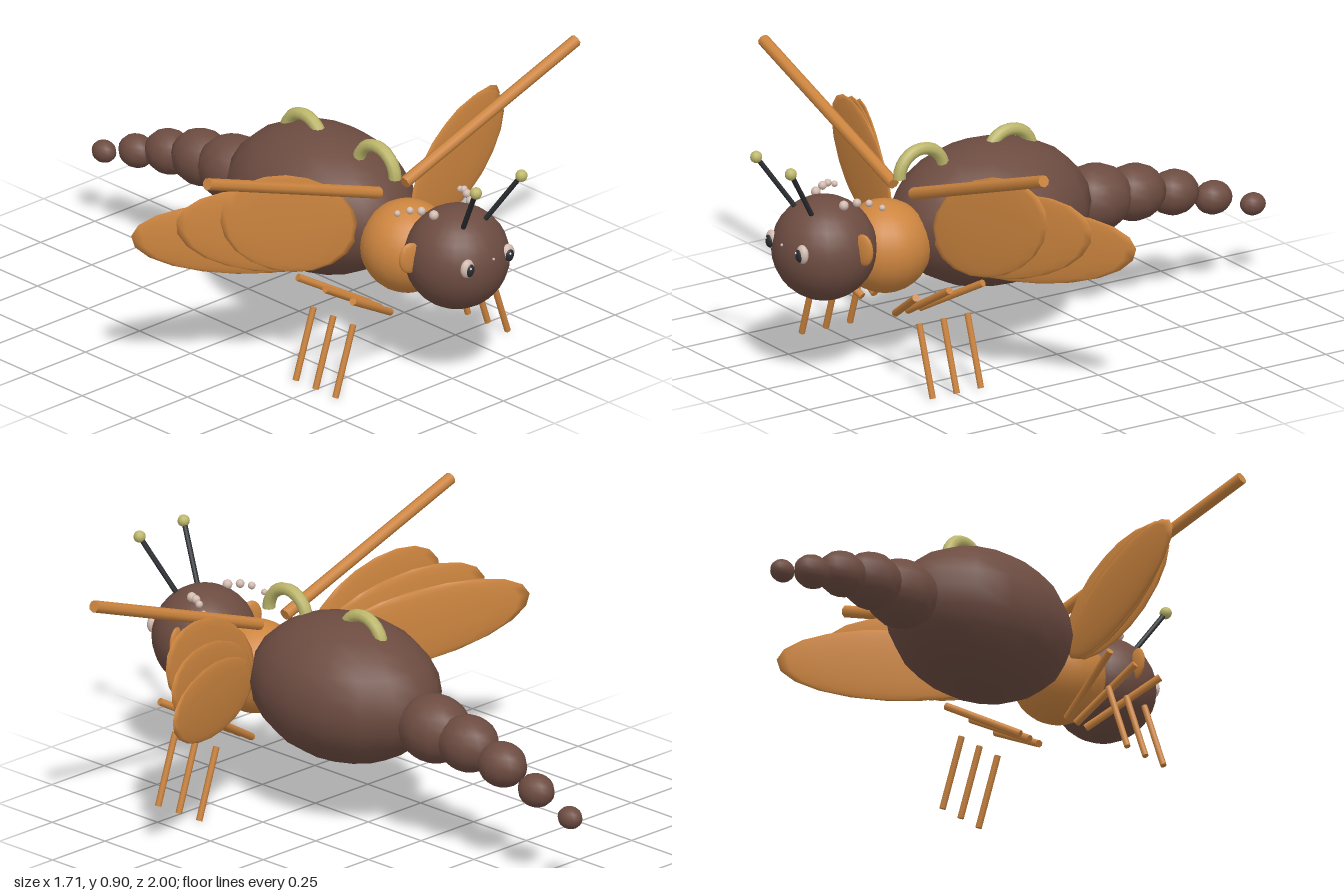
import * as THREE from 'three';

const mat = (name, color) => {
  const m = new THREE.MeshStandardMaterial({ color });
  m.name = name;
  return m;
};

export function createModel() {
  const group = new THREE.Group();
  const brown = mat('brown', 0x6d4c41);
  const orange = mat('orange', 0xcd853f);
  const khaki = mat('khaki', 0xbdb76b);
  const pale = mat('pale', 0xd2bbb0);
  const dark = mat('dark', 0x2a2d31);
  const white = mat('white', 0xffffff);

  const add = (name, geo, material, pos) => {
    const mesh = new THREE.Mesh(geo, material);
    mesh.name = name;
    mesh.position.set(...pos);
    group.add(mesh);
    return mesh;
  };
  const ellipsoid = (name, material, pos, radii, w = 16, h = 12) => {
    const mesh = add(name, new THREE.SphereGeometry(1, w, h), material, pos);
    mesh.scale.set(...radii);
    return mesh;
  };
  // straight cylinder between two points
  const rod = (name, material, from, to, r, sides = 8) => {
    const a = new THREE.Vector3(...from), b = new THREE.Vector3(...to);
    const mid = a.clone().add(b).multiplyScalar(0.5);
    const mesh = add(name, new THREE.CylinderGeometry(r, r, a.distanceTo(b), sides), material, mid.toArray());
    mesh.quaternion.setFromUnitVectors(new THREE.Vector3(0, 1, 0), b.sub(a).normalize());
    return mesh;
  };

  // body
  ellipsoid('abdomen', brown, [0, 0.46, 0.105], [0.277, 0.25, 0.367]);
  ellipsoid('thorax', orange, [0, 0.42, 0.53], [0.16, 0.16, 0.16], 20, 16);
  ellipsoid('head', brown, [0, 0.462, 0.773], [0.18, 0.18, 0.178], 24, 16);

  // tail beads, shrinking and drooping to the tip
  [[0.423, 0.118], [0.412, 0.098], [0.38, 0.078], [0.33, 0.058], [0.275, 0.039]].forEach(([y, r], i) => {
    ellipsoid('tailSegment' + (i + 1), brown, [0, y, -0.315 - 0.16 * i], [r, r, r * 1.17], 12, 10);
  });

  // arched handles along the back
  for (const z of [0.38, 0.025]) {
    const arch = add('backArch', new THREE.TorusGeometry(0.09, 0.022, 8, 12, Math.PI), khaki, [0, 0.645, z]);
    arch.rotation.y = Math.PI / 2;
  }

  ellipsoid('noseDot', pale, [0.005, 0.505, 0.947], [0.005, 0.005, 0.005], 8, 6);

  // wing feathers: tip x, tip y, tip z, half height
  const feathers = [[0.85, 0.57, 0.08, 0.13], [0.745, 0.63, 0.19, 0.147], [0.645, 0.69, 0.31, 0.167]];
  const root = [0.13, 0.44, 0.415];
  // brow beads: x, y, z, radius
  const beads = [[0.085, 0.63, 0.75, 0.017], [0.105, 0.638, 0.71, 0.015], [0.125, 0.635, 0.675, 0.013], [0.145, 0.617, 0.635, 0.011]];

  for (const s of [1, -1]) {
    const side = s > 0 ? 'left' : 'right';

    feathers.forEach(([x, y, z, h], i) => {
      const dx = x - root[0], dy = y - root[1], dz = z - root[2];
      const run = Math.hypot(dx, dz);
      const mesh = ellipsoid(side + 'WingFeather' + (i + 1), orange,
        [s * (x + root[0]) / 2, (y + root[1]) / 2, (z + root[2]) / 2],
        [Math.hypot(run, dy) / 2, h, 0.014], 14, 10);
      mesh.rotation.set(0, s * Math.atan2(-dz, dx), s * Math.atan2(dy, run), 'YZX');
    });
    rod(side + 'WingSpar', orange, [s * 0.06, 0.607, 0.453], [s * 0.85, 0.885, 0.453], 0.021);

    // antenna
    rod(side + 'Antenna', dark, [s * 0.045, 0.59, 0.845], [s * 0.105, 0.79, 0.975], 0.009);
    ellipsoid(side + 'AntennaTip', khaki, [s * 0.105, 0.792, 0.977], [0.021, 0.021, 0.021], 10, 8);

    // eye
    ellipsoid(side + 'Eye', pale, [s * 0.093, 0.492, 0.922], [0.027, 0.033, 0.018], 14, 10);
    ellipsoid(side + 'Pupil', dark, [s * 0.091, 0.489, 0.931], [0.019, 0.024, 0.014], 12, 8);
    ellipsoid(side + 'EyeGlint', white, [s * 0.091 - 0.006, 0.499, 0.944], [0.004, 0.004, 0.003], 8, 6);

    beads.forEach(([x, y, z, r], i) => {
      ellipsoid(side + 'BrowBead' + (i + 1), pale, [s * x, y, z], [r, r, r], 10, 8);
    });

    // ear
    const ear = ellipsoid(side + 'Ear', orange, [s * 0.178, 0.495, 0.732], [0.042, 0.056, 0.013], 12, 8);
    ear.rotation.y = s * 0.3;

    // three two-part legs
    for (const k of [-1, 0, 1]) {
      rod(side + 'UpperLeg', orange, [s * 0.1, 0.213, 0.502 + k * 0.05], [s * 0.352, 0.358, 0.502 + k * 0.135], 0.013);
      rod(side + 'LowerLeg', orange, [s * 0.315, 0.248, 0.502 + k * 0.097], [s * 0.397, 0.005, 0.502 + k * 0.097], 0.011);
    }
  }
  return group;
}
